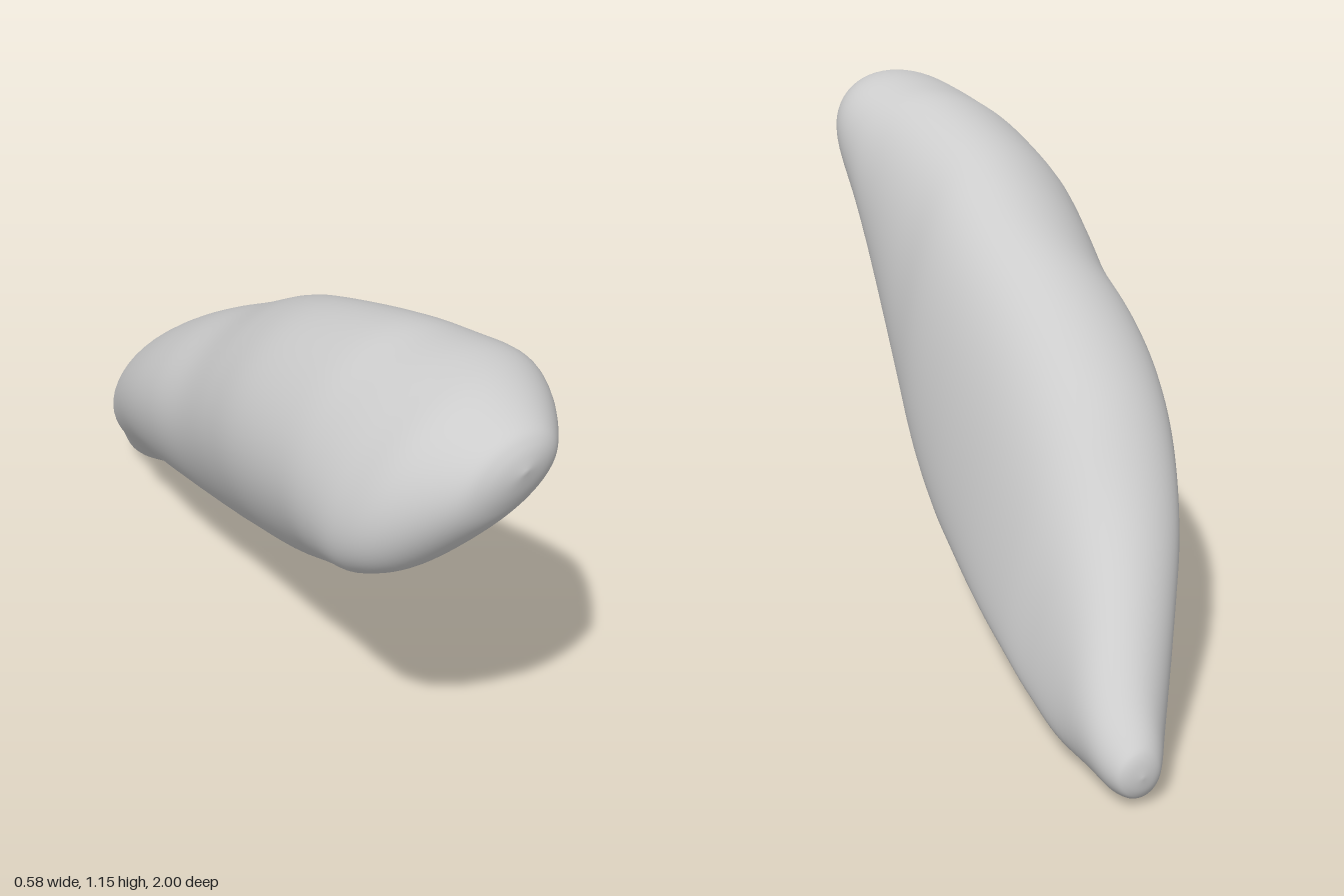
import * as THREE from 'three';
import { mergeVertices } from 'three/addons/utils/BufferGeometryUtils.js';

// Cross-sections from blunt head to narrow tail:
// z, xMin, xMax, yMin, yMax, topLean, bottomLean.
// Leans slant the oval: topLean > 0 tips its top toward +x,
// bottomLean < 0 pulls its underside toward +x.
const SECTIONS = [
  [1.0, -0.02, -0.02, 1.03, 1.03, 0.3, 0.4],
  [0.985, -0.1, 0.05, 0.96, 1.075, 0.3, 0.4],
  [0.95, -0.165, 0.095, 0.89, 1.107, 0.3, 0.4],
  [0.85, -0.255, 0.165, 0.775, 1.142, 0.32, 0.45],
  [0.75, -0.287, 0.205, 0.705, 1.153, 0.35, 0.42],
  [0.63, -0.287, 0.215, 0.625, 1.143, 0.28, 0.15],
  [0.5, -0.275, 0.218, 0.515, 1.128, 0.18, -0.2],
  [0.3, -0.26, 0.235, 0.375, 1.075, 0.05, -0.5],
  [0.15, -0.237, 0.255, 0.292, 1.015, 0, -0.62],
  [0, -0.215, 0.265, 0.225, 0.93, -0.05, -0.72],
  [-0.15, -0.208, 0.272, 0.183, 0.85, -0.12, -0.8],
  [-0.3, -0.185, 0.28, 0.145, 0.755, -0.2, -0.85],
  [-0.45, -0.14, 0.285, 0.11, 0.64, -0.28, -0.87],
  [-0.6, -0.075, 0.286, 0.068, 0.495, -0.32, -0.85],
  [-0.75, 0.015, 0.287, 0.027, 0.358, -0.3, -0.65],
  [-0.9, 0.112, 0.284, 0.002, 0.21, -0.15, 0],
  [-0.97, 0.155, 0.268, 0.014, 0.142, -0.1, 0],
  [-0.992, 0.178, 0.249, 0.035, 0.112, 0, 0],
  [-1.0, 0.213, 0.213, 0.073, 0.073, 0, 0],
];

// Smooth interpolation of one column of the section list
const columns = SECTIONS[0].map((_, c) =>
  new THREE.SplineCurve(SECTIONS.map((s, i) => new THREE.Vector2(i, s[c]))));

function createBodyGeometry(rings = 108, sides = 64) {
  const positions = [];
  const indices = [];
  for (let i = 0; i <= rings; i++) {
    const [z, x0, x1, y0, y1, top, bottom] = columns.map((curve) => curve.getPoint(i / rings).y);
    for (let j = 0; j < sides; j++) {
      const t = (j / sides) * Math.PI * 2;
      const height = Math.sin(t);
      const phase = THREE.MathUtils.lerp(Math.asin(bottom), Math.asin(top), (1 + height) / 2);
      positions.push(
        (x0 + x1) / 2 + ((x1 - x0) / 2) * Math.cos(t - phase),
        (y0 + y1) / 2 + ((y1 - y0) / 2) * height,
        z,
      );
      if (i < rings) {
        const a = i * sides + j;
        const b = i * sides + ((j + 1) % sides);
        indices.push(a, a + sides, b, b, a + sides, b + sides);
      }
    }
  }
  const geometry = new THREE.BufferGeometry();
  geometry.setAttribute('position', new THREE.Float32BufferAttribute(positions, 3));
  geometry.setIndex(indices);
  const merged = mergeVertices(geometry, 1e-5);
  merged.computeVertexNormals();
  return merged;
}

export function createModel() {
  const group = new THREE.Group();
  group.name = 'taperedStone';

  const grey = new THREE.MeshStandardMaterial({ color: 0xcccccc });
  grey.name = 'light grey';

  // Single twisted, tapering body
  const body = new THREE.Mesh(createBodyGeometry(), grey);
  body.name = 'body';
  group.add(body);
  return group;
}
